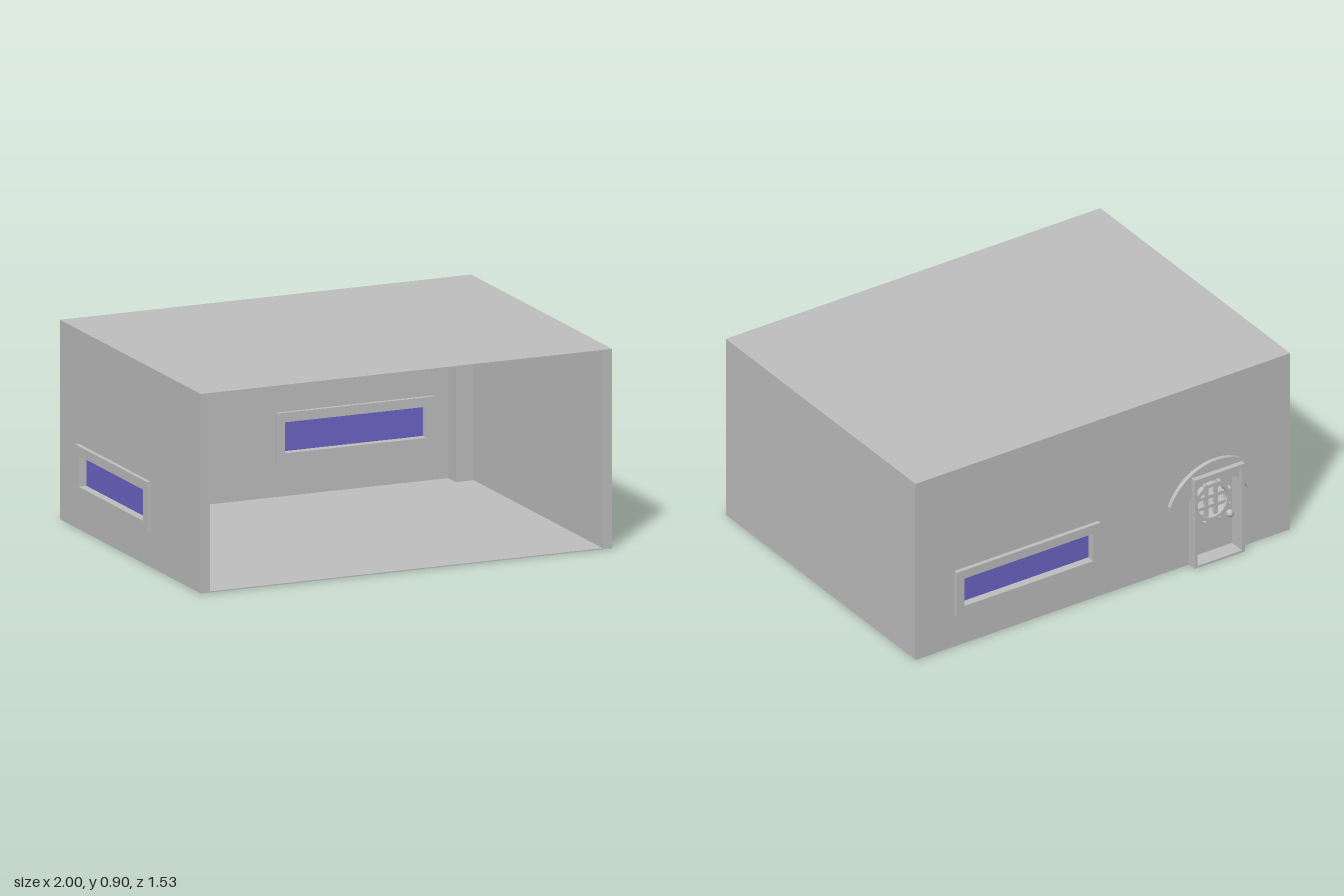
import * as THREE from 'three';

const grey = new THREE.MeshStandardMaterial({ color: 0xc0c0c0 });
grey.name = 'wall grey';
const blue = new THREE.MeshStandardMaterial({ color: 0x6f66c8 });
blue.name = 'window blue';

// Overall shell limits
const X0 = -0.98, X1 = 1, Z0 = -0.72, Z1 = 0.765, H = 0.9, T = 0.045;

function add(parent, name, geometry, material = grey) {
  const mesh = new THREE.Mesh(geometry, material);
  mesh.name = name;
  parent.add(mesh);
  return mesh;
}

function box(parent, name, x0, x1, y0, y1, z0, z1, material) {
  const g = new THREE.BoxGeometry(x1 - x0, y1 - y0, z1 - z0);
  g.translate((x0 + x1) / 2, (y0 + y1) / 2, (z0 + z1) / 2);
  return add(parent, name, g, material);
}

function rect(x0, x1, y0, y1) {
  return new THREE.Shape([[x0, y0], [x1, y0], [x1, y1], [x0, y1]].map(p => new THREE.Vector2(...p)));
}

function circleHole(x, y, r) {
  return new THREE.Path().absarc(x, y, r, 0, Math.PI * 2, true);
}

function extrude(shape, z0, z1) {
  return new THREE.ExtrudeGeometry(shape, { depth: z1 - z0, bevelEnabled: false, curveSegments: 32 })
    .translate(0, 0, z0);
}

// Framed window centred on its wall: the frame stands proud on both faces
function makeWindow(name) {
  const group = new THREE.Group();
  group.name = name;
  const frame = rect(-0.38, 0.38, -0.113, 0.113);
  frame.holes.push(rect(-0.34, 0.34, -0.07, 0.07));
  add(group, 'windowFrame', extrude(frame, -0.0425, 0.0425));
  box(group, 'windowPane', -0.34, 0.34, -0.07, 0.07, -0.004, 0.004, blue);
  return group;
}

function makeDoor() {
  const door = new THREE.Group();
  door.name = 'door';
  const L = -0.71, R = -0.445, top = 0.45, e = 0.015, cx = -0.5775, cy = 0.27, r = 0.078;
  const inner = Z0 + T, outer = -0.765;

  // Projecting surround and sill
  const surround = rect(L, R, 0, top);
  surround.holes.push(rect(L + e, R - e, 0.01, top - e));
  add(door, 'doorSurround', extrude(surround, outer, inner));

  // Leaf with a round opening
  const leaf = rect(L + e, R - e, 0.01, top - e);
  leaf.holes.push(circleHole(cx, cy, r));
  add(door, 'doorLeaf', extrude(leaf, inner - 0.012, inner));

  // Porthole ring, bolts and grille
  const ring = new THREE.Shape().absarc(cx, cy, 0.095, 0, Math.PI * 2, false);
  ring.holes.push(circleHole(cx, cy, r));
  add(door, 'portholeRing', extrude(ring, inner - 0.035, inner - 0.01));
  for (let i = 0; i < 8; i++) {
    const a = (i + 0.5) * Math.PI / 4;
    const bolt = add(door, 'portholeBolt', new THREE.CylinderGeometry(0.009, 0.009, 0.022, 12));
    bolt.rotation.x = Math.PI / 2;
    bolt.position.set(cx + 0.1 * Math.cos(a), cy + 0.1 * Math.sin(a), inner - 0.03);
  }
  const half = Math.sqrt(r * r - 0.025 * 0.025);
  for (const s of [-0.025, 0.025]) {
    box(door, 'grilleUpright', cx + s - 0.008, cx + s + 0.008, cy - half, cy + half, inner - 0.025, inner - 0.009);
    box(door, 'grilleCrossbar', cx - half, cx + half, cy + s - 0.008, cy + s + 0.008, inner - 0.025, inner - 0.009);
  }

  // Knob on both faces
  for (const z of [inner - 0.024, inner + 0.012]) {
    add(door, 'doorKnob', new THREE.SphereGeometry(0.018, 16, 12)).position.set(-0.675, 0.175, z);
  }

  // Arched hood running through the wall
  const a0 = 22 * Math.PI / 180, arch = new THREE.Shape();
  arch.absarc(cx, 0.235, 0.265, a0, Math.PI - a0, false);
  arch.absarc(cx, 0.235, 0.178, Math.PI - a0, a0, true);
  add(door, 'doorArch', extrude(arch, -0.74, inner + 0.02));
  return door;
}

export function createModel() {
  const model = new THREE.Group();
  model.name = 'openFrontedBuilding';

  // Thin roof and floor between the walls
  box(model, 'roof', X0 + T, X1 - T, H - 0.005, H, Z0 + T, Z1);
  box(model, 'floor', X0 + T, X1 - T, 0, 0.005, Z0 + T, Z1);

  // Back wall with doorway notch and window opening
  const back = new THREE.Shape([
    [X0, 0], [-0.71, 0], [-0.71, 0.45], [-0.445, 0.45], [-0.445, 0], [X1, 0], [X1, H], [X0, H],
  ].map(p => new THREE.Vector2(...p)));
  back.holes.push(rect(0.075, 0.755, 0.203, 0.343));
  add(model, 'backWall', extrude(back, Z0, Z0 + T));

  // Right wall with window opening, and plain left wall
  const side = rect(Z0 + T, Z1, 0, H);
  side.holes.push(rect(-0.48, 0.2, 0.203, 0.343));
  const rightWall = add(model, 'rightWall', extrude(side, 0, T));
  rightWall.rotation.y = -Math.PI / 2;
  rightWall.position.x = X0 + T;
  box(model, 'leftWall', X1 - T, X1, 0, H, Z0 + T, Z1);

  // Posts in the inner back corners
  box(model, 'cornerPost', X0 + T, -0.85, 0.005, H - 0.005, Z0 + T, -0.595);
  box(model, 'cornerPost', 0.87, X1 - T, 0.005, H - 0.005, Z0 + T, -0.595);

  // Windows
  const backWindow = makeWindow('backWindow');
  backWindow.position.set(0.415, 0.273, Z0 + T / 2);
  const sideWindow = makeWindow('sideWindow');
  sideWindow.rotation.y = -Math.PI / 2;
  sideWindow.position.set(X0 + T / 2, 0.273, -0.14);
  model.add(backWindow, sideWindow, makeDoor());

  return model;
}
